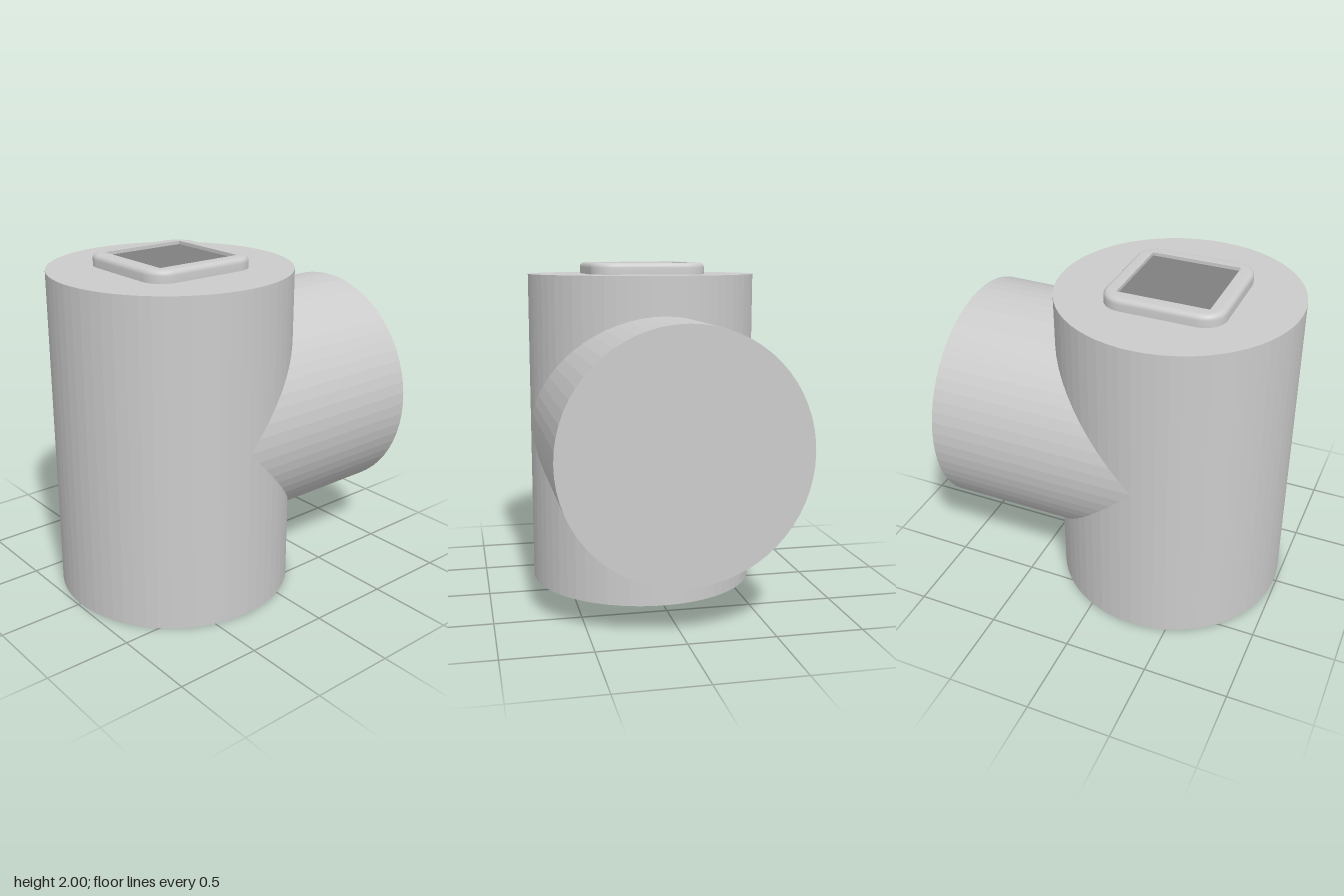
import * as THREE from 'three';
import { toCreasedNormals } from 'three/addons/utils/BufferGeometryUtils.js';

const R = 0.7, SIDES = 64, AXIS_Z = 0.285, BODY_H = 1.93, BRANCH_Y = 1.005, BACK_Z = -0.985;

// Points around a rounded square, counter-clockwise seen from above
function roundedSquare(half, radius, y, steps = 8) {
  const points = [];
  for (let corner = 0; corner < 4; corner++) {
    const mid = Math.PI / 4 + corner * Math.PI / 2;
    const cx = Math.sign(Math.cos(mid)) * (half - radius);
    const cz = Math.sign(Math.sin(mid)) * (half - radius);
    for (let i = 0; i <= steps; i++) {
      const a = (corner + i / steps) * Math.PI / 2;
      points.push([cx + radius * Math.cos(a), y, -(cz + radius * Math.sin(a))]);
    }
  }
  return points;
}

// Skin a list of closed rings with equal point counts
function loft(rings) {
  const n = rings[0].length, index = [];
  for (let r = 0; r < rings.length - 1; r++) {
    for (let i = 0; i < n; i++) {
      const a = r * n + i, b = r * n + (i + 1) % n;
      index.push(a, b, b + n, a, b + n, a + n);
    }
  }
  const geometry = new THREE.BufferGeometry();
  geometry.setAttribute('position', new THREE.Float32BufferAttribute(rings.flat(2), 3));
  geometry.setIndex(index);
  geometry.computeVertexNormals();
  return toCreasedNormals(geometry, Math.PI / 6);
}

export function createModel() {
  const group = new THREE.Group();
  const grey = new THREE.MeshStandardMaterial({ color: 0xcccccc });
  const facetedGrey = new THREE.MeshStandardMaterial({ color: 0xcccccc, flatShading: true });
  const dark = new THREE.MeshStandardMaterial({ color: 0x808080 });

  const add = (name, geometry, material, x, y, z) => {
    const mesh = new THREE.Mesh(geometry, material);
    mesh.name = name;
    mesh.position.set(x, y, z);
    group.add(mesh);
  };

  // Upright drum
  add('body', new THREE.CylinderGeometry(R, R, BODY_H, SIDES), facetedGrey, 0, BODY_H / 2, AXIS_Z);

  // Rear branch, its inner end mitred to meet the drum
  const length = AXIS_Z - BACK_Z;
  const branch = new THREE.CylinderGeometry(R, R, length, SIDES, 1, true);
  branch.rotateX(-Math.PI / 2).translate(0, 0, -length / 2);
  const p = branch.attributes.position;
  for (let i = 0; i < p.count; i++) {
    if (p.getZ(i) > -length / 2) p.setZ(i, -Math.abs(p.getY(i)));
  }
  add('rearBranch', branch, facetedGrey, 0, BRANCH_Y, AXIS_Z);
  add('rearBranchCap', new THREE.CircleGeometry(R, SIDES).rotateY(Math.PI), grey, 0, BRANCH_Y, BACK_Z);

  // Raised frame: rounded outer edge, flat rim, square recess
  const half = 0.35, corner = 0.13, round = 0.03, height = 0.07, opening = 0.265, floor = 0.05;
  const rings = [roundedSquare(half, corner, 0)];
  for (let i = 0; i <= 6; i++) {
    const a = i / 6 * Math.PI / 2;
    const inset = round * (1 - Math.cos(a));
    rings.push(roundedSquare(half - inset, corner - inset, height - round + round * Math.sin(a)));
  }
  rings.push(roundedSquare(opening, 0, height), roundedSquare(opening, 0, floor));
  add('panelFrame', loft(rings), grey, 0, BODY_H, AXIS_Z);

  // Dark panel in the recess
  const panel = new THREE.PlaneGeometry(opening * 2, opening * 2).rotateX(-Math.PI / 2);
  add('panel', panel, dark, 0, BODY_H + floor, AXIS_Z);

  return group;
}
